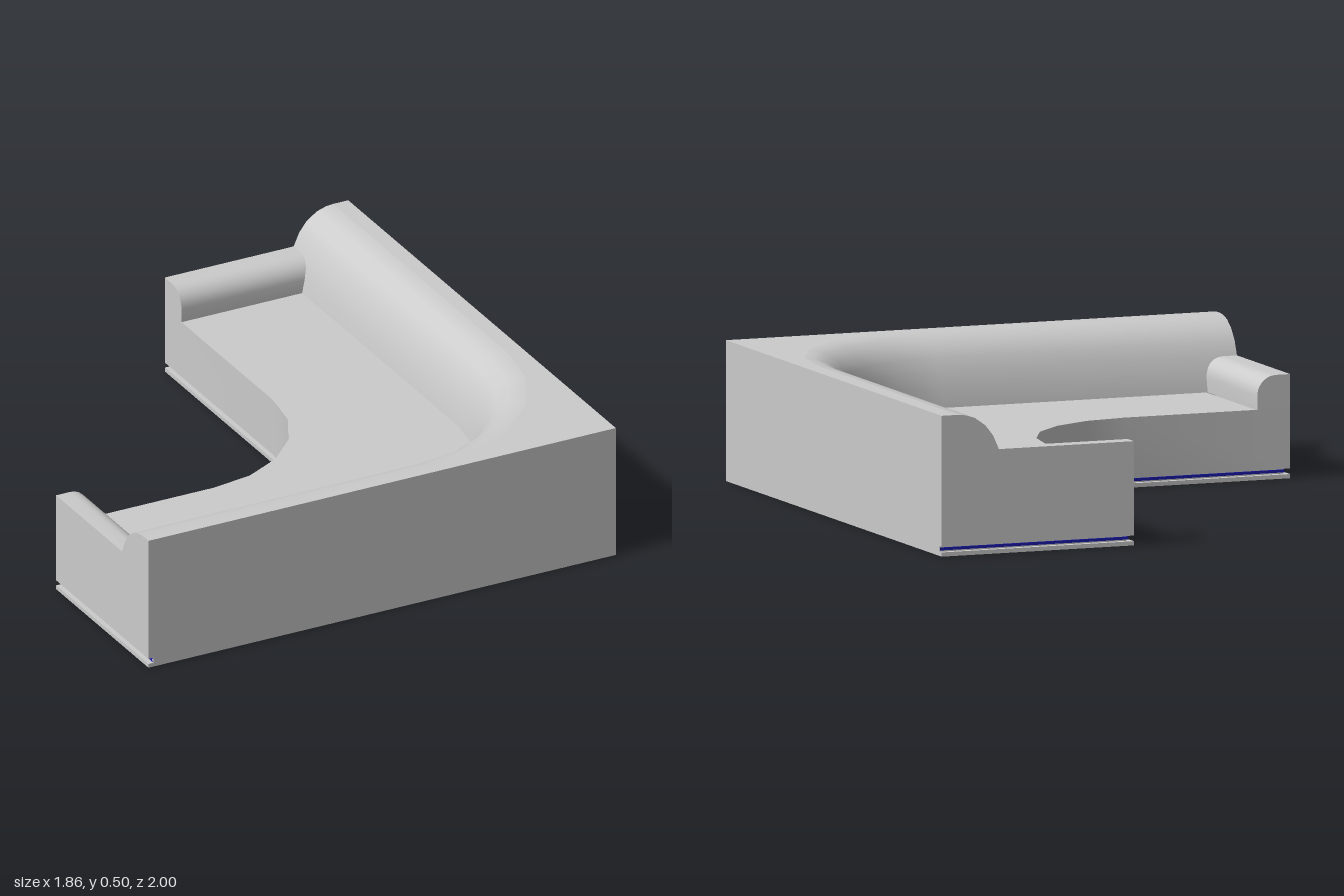
import * as THREE from 'three';
import { toCreasedNormals } from 'three/addons/utils/BufferGeometryUtils.js';

const X = 0.93, Z = 1, H = 0.5, SEAT = 0.25, ARM = 0.37;
const grey = new THREE.MeshStandardMaterial({ color: 0xcccccc, side: THREE.DoubleSide });
const blue = new THREE.MeshStandardMaterial({ color: 0x1a1ab0, side: THREE.DoubleSide });
const v3 = (x, y, z) => new THREE.Vector3(x, y, z);

function meshFrom(name, tris, material = grey) {
  const g = new THREE.BufferGeometry().setFromPoints(tris);
  const m = new THREE.Mesh(toCreasedNormals(g, 0.6), material);
  m.name = name;
  return m;
}

// Skin between neighbouring rows of points
function loft(name, rows, material) {
  const t = [];
  for (let i = 0; i < rows.length - 1; i++) {
    for (let j = 0; j < rows[i].length - 1; j++) {
      const a = rows[i][j], b = rows[i][j + 1], c = rows[i + 1][j], d = rows[i + 1][j + 1];
      t.push(a, b, c, b, d, c);
    }
  }
  return meshFrom(name, t, material);
}

// Flat polygon placed in space by a mapping, facing the given direction
function panel(name, pts, map, facing) {
  const flat = pts.map(([u, v]) => new THREE.Vector2(u, v));
  if (THREE.ShapeUtils.isClockWise(flat)) flat.reverse();
  const t = [];
  for (const f of THREE.ShapeUtils.triangulateShape(flat, [])) {
    const [a, b, c] = f.map((i) => map(flat[i].x, flat[i].y));
    const n = b.clone().sub(a).cross(c.clone().sub(a));
    t.push(...(n.dot(facing) < 0 ? [a, c, b] : [a, b, c]));
  }
  return meshFrom(name, t);
}

// L-shaped plan line [x, z]: straight, quarter turn in five steps, straight
function bend(cx, cz, r, zEnd = -Z, xEnd = -X) {
  const p = [[cx + r, zEnd]];
  for (let i = 0; i <= 5; i++) {
    const a = (i / 5) * Math.PI / 2;
    p.push([cx + r * Math.cos(a), cz + r * Math.sin(a)]);
  }
  p.push([xEnd, cz + r]);
  return p;
}
const innerLine = (off, zEnd, xEnd) => bend(-0.3, -0.19, 0.5 + off, zEnd, xEnd);
const backLine = (r, zEnd, xEnd) => bend(0.2, 0.29, r, zEnd, xEnd);
const lift = (pts, y) => pts.map(([x, z]) => v3(x, y, z));

// Inner perimeter of the base, moved inward by off
const skirtLine = (off) => [[X, -Z + off], ...innerLine(off, -Z + off, -X + off), [-X + off, Z]];

export function createModel() {
  const group = new THREE.Group();
  const up = v3(0, 1, 0);

  // Base wall with a light groove near the floor
  const skirt = [[0, 0], [0, 0.015], [0.02, 0.015], [0.02, 0.035], [0, 0.035], [0, SEAT]];
  group.add(loft('baseWall', skirt.map(([o, y]) => lift(skirtLine(o), y))));
  const strip = [[0.015, 0.02], [0.015, 0.03], [0.025, 0.03], [0.025, 0.02], [0.015, 0.02]];
  group.add(loft('lightStrip', strip.map(([o, y]) => lift(skirtLine(o), y)), blue));

  // Seat between the concave edge and the backrest
  const onPlan = (y) => (x, z) => v3(x, y, z);
  group.add(panel('seat',
    [...innerLine(0, -0.88, -0.8), ...backLine(0.48, -0.88, -0.8).reverse()], onPlan(SEAT), up));

  // Backrest: rounded front swept round the corner, flat top [radius, height]
  const back = [[0.48, SEAT], [0.494, 0.32], [0.513, ARM], [0.535, 0.42],
    [0.565, 0.458], [0.605, 0.486], [0.64, 0.497], [0.67, H]];
  group.add(loft('backrestFront', back.map(([r, y]) => lift(backLine(r), y))));
  group.add(panel('backrestTop',
    [...backLine(0.67), [-X, Z], [X, Z], [X, -Z]], onPlan(H), up));

  // Outer walls, notched where the groove runs out
  const outer = (end, far) => [[end, 0], [far, 0], [far, H], [end, H], [end, 0.035],
    [end + 0.02, 0.035], [end + 0.02, 0.015], [end, 0.015]];
  group.add(panel('frontWall', outer(-X, X), (u, y) => v3(u, y, Z), v3(0, 0, 1)));
  group.add(panel('sideWall', outer(-Z, Z), (u, y) => v3(X, y, u), v3(1, 0, 0)));

  // Armrest section [distance from the end, height]
  const arm = [[0.125, SEAT], [0.125, 0.3]];
  for (let i = 1; i <= 6; i++) {
    const a = (i / 6) * Math.PI / 2;
    arm.push([0.055 + 0.07 * Math.cos(a), 0.3 + 0.07 * Math.sin(a)]);
  }
  arm.push([0, ARM]);

  // One armrest per end; place(s, y, d): s across the end, d inward from it
  const ends = [
    { name: 'rear', s0: 0.2, c: 0.2, s1: X, place: (s, y, d) => v3(s, y, -Z + d), out: v3(0, 0, -1), side: v3(-1, 0, 0) },
    { name: 'right', s0: 0.31, c: 0.29, s1: Z, place: (s, y, d) => v3(-X + d, y, s), out: v3(-1, 0, 0), side: v3(0, 0, -1) },
  ];
  for (const { name, s0, c, s1, place, out, side } of ends) {
    const span = [s0, c + 0.513];
    if (name === 'right') span.reverse();
    group.add(loft(name + 'Armrest', arm.map(([d, y]) => span.map((s) => place(s, y, d)))));
    group.add(panel(name + 'ArmrestSide', [...arm, [0, SEAT]], (d, y) => place(s0, y, d), side));
    const profile = back.slice(2).map(([r, y]) => [c + r, y]);
    group.add(panel(name + 'EndPanel',
      [[s0, SEAT], [s0, ARM], ...profile, [s1, H], [s1, SEAT]], (s, y) => place(s, y, 0), out));
  }
  return group;
}
